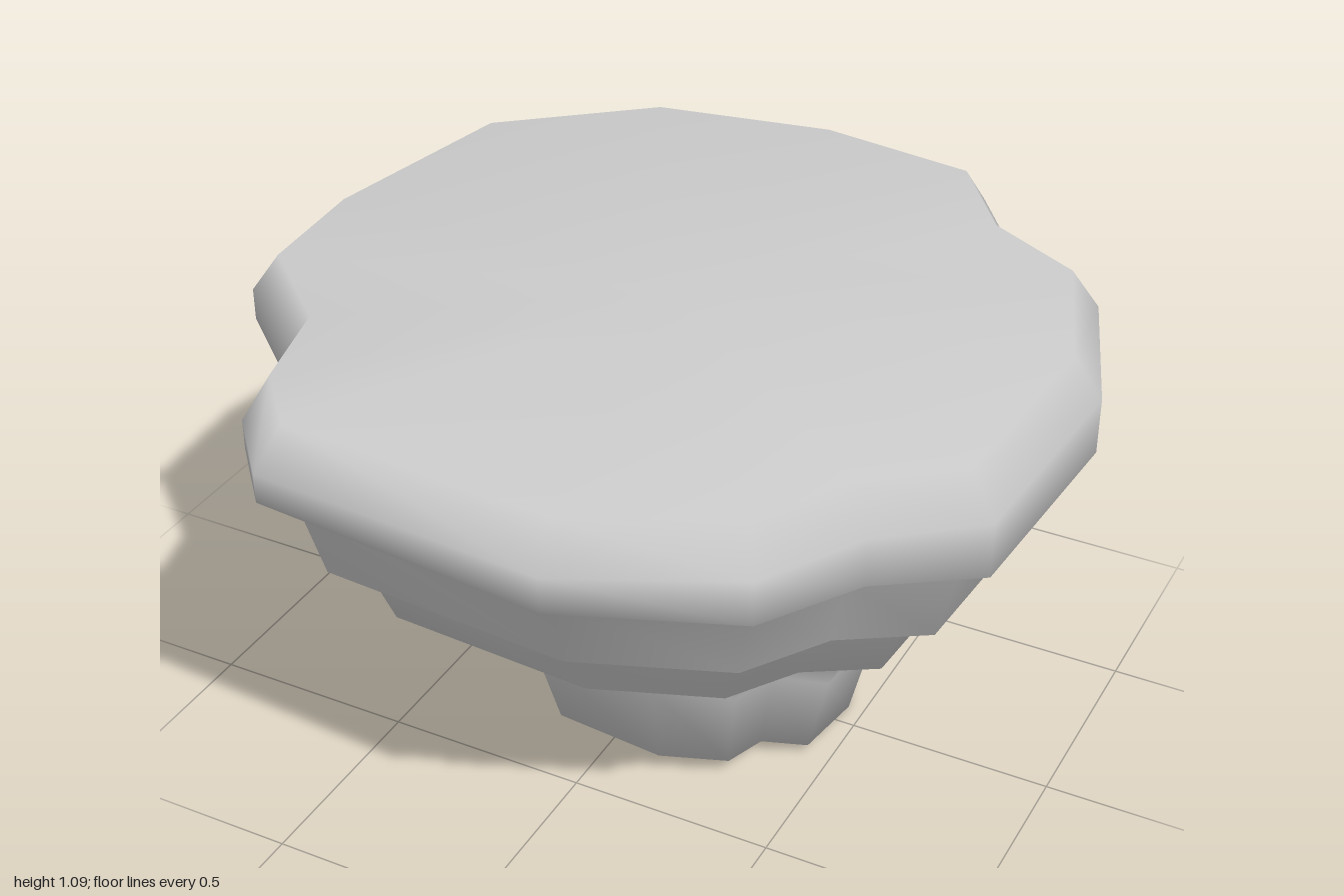
import * as THREE from 'three';

// Lobed outline of the rim as [x, z], running back, left, front, right
const OUTLINE = [
  [-0.03, -1], [0.4, -0.94], [0.58, -0.69], [0.84, -0.55],
  [0.985, -0.16], [0.95, 0.4], [0.74, 0.57], [0.6, 0.81],
  [0.21, 0.995], [-0.51, 0.945], [-0.655, 0.78], [-0.725, 0.51],
  [-0.97, 0.29], [-0.99, -0.04], [-0.88, -0.61], [-0.51, -0.915],
];
const NOTCHES = [2, 6, 11];

// Rings from top to bottom: scale, x shift, height, tilt along x, sag at the sides, notch factor
const RINGS = [
  [0.93, 0, 1.09, 0, 0, 1],
  [1, 0, 0.99, 0, 0, 1],
  [1, 0, 0.91, -0.03, -0.03, 1],
  [0.915, 0, 0.875, -0.03, -0.04, 1],
  [0.86, 0, 0.68, -0.015, -0.05, 1],
  [0.765, 0, 0.63, -0.015, -0.05, 1],
  [0.71, 0, 0.49, -0.01, -0.05, 1],
  [0.505, 0.08, 0.415, 0, -0.04, 0.97],
  [0.445, 0.08, 0.3, 0.005, -0.055, 0.93],
  [0.385, 0.08, 0.063, -0.015, -0.02, 0.93],
];

// Uneven foot: the left back corner reaches the ground
const FOOT_DROP = { 2: 0, 3: 0, 4: 0, 5: 0.03 };

function createRock() {
  const n = OUTLINE.length;
  const positions = [];
  const index = [];

  RINGS.forEach(([scale, shift, height, tilt, sag, notch], r) => {
    OUTLINE.forEach(([x, z], i) => {
      const s = scale * (NOTCHES.includes(i) ? notch : 1);
      let y = height + tilt * x + sag * x * x;
      if (r === RINGS.length - 1 && i in FOOT_DROP) y = FOOT_DROP[i];
      positions.push(x * s + shift, y, z * s);
    });
  });

  // Walls and ledges between neighbouring rings
  for (let r = 0; r < RINGS.length - 1; r++) {
    for (let i = 0; i < n; i++) {
      const a = r * n + i;
      const b = r * n + (i + 1) % n;
      index.push(a, b, a + n, b, b + n, a + n);
    }
  }

  // Flat top and foot caps
  const top = positions.length / 3;
  positions.push(0, 1.09, 0, 0.08, 0.045, 0);
  const last = (RINGS.length - 1) * n;
  for (let i = 0; i < n; i++) {
    const j = (i + 1) % n;
    index.push(top, j, i, top + 1, last + i, last + j);
  }

  const geometry = new THREE.BufferGeometry();
  geometry.setAttribute('position', new THREE.Float32BufferAttribute(positions, 3));
  geometry.setIndex(index);
  geometry.computeVertexNormals();
  return geometry;
}

export function createModel() {
  const group = new THREE.Group();
  group.name = 'steppedRock';
  const material = new THREE.MeshStandardMaterial({ color: 0xcccccc });
  const rock = new THREE.Mesh(createRock(), material);
  rock.name = 'rockPlatform';
  group.add(rock);
  return group;
}
